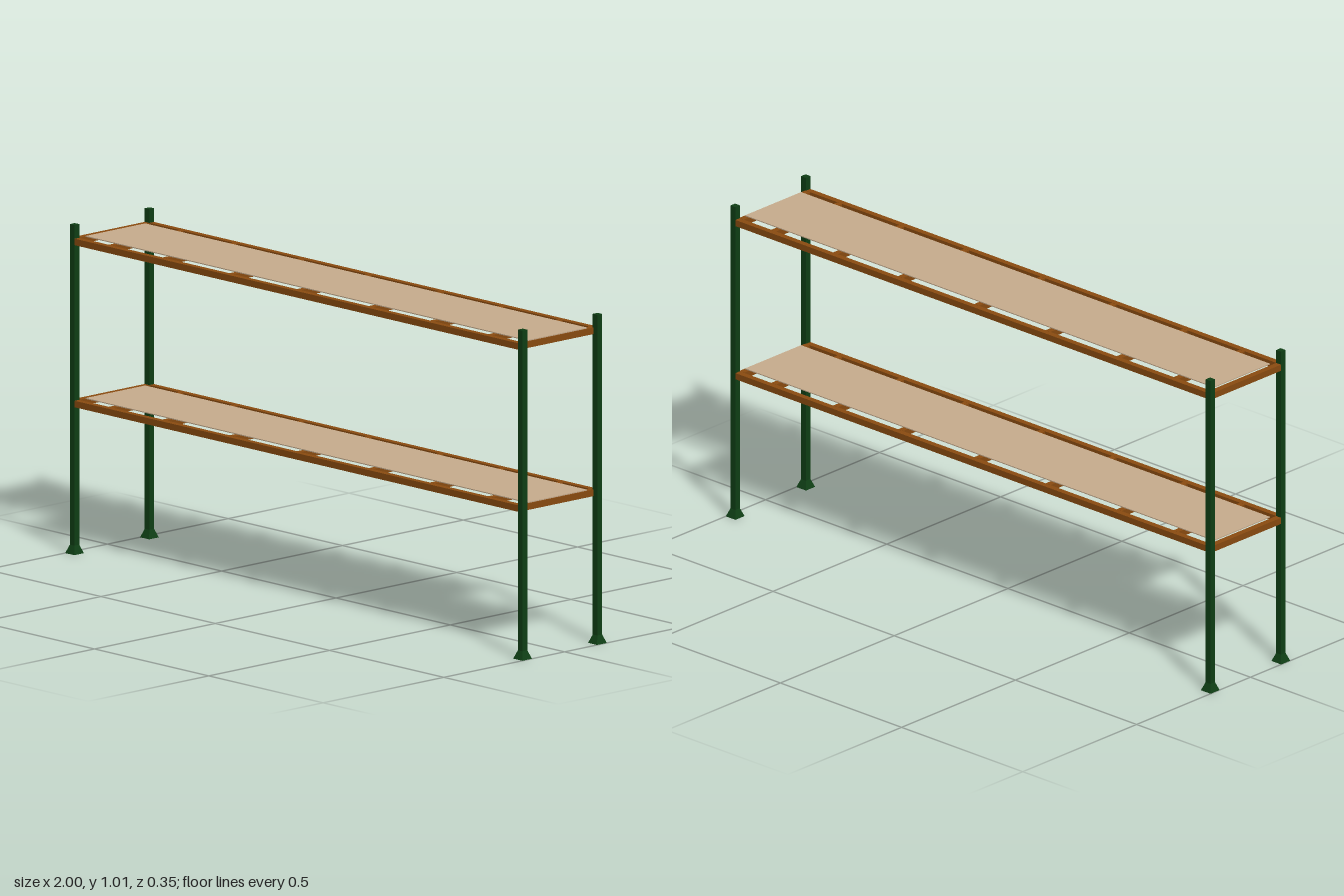
import * as THREE from 'three';

const mat = (name, color) => {
  const m = new THREE.MeshStandardMaterial({ color });
  m.name = name;
  return m;
};

export function createModel() {
  const group = new THREE.Group();
  group.name = 'shelvingRack';
  const green = mat('dark green', 0x0f3f15);
  const brown = mat('brown', 0x8b4c10);
  const tan = mat('tan', 0xc8ad8e);

  const add = (parent, name, geometry, material, x, y, z) => {
    const mesh = new THREE.Mesh(geometry, material);
    mesh.name = name;
    mesh.position.set(x, y, z);
    parent.add(mesh);
    return mesh;
  };

  const POST_X = 0.98, POST_Z = 0.155, HEIGHT = 1.015, BAR = 0.02;

  // Square posts standing on flared four-sided feet
  const postGeo = new THREE.BoxGeometry(BAR, HEIGHT - 0.005, BAR);
  const footGeo = new THREE.CylinderGeometry(0.01 * Math.SQRT2, 0.02 * Math.SQRT2, 0.026, 4)
    .rotateY(Math.PI / 4).toNonIndexed();
  footGeo.computeVertexNormals();
  for (const sx of [-1, 1]) {
    for (const sz of [-1, 1]) {
      const side = (sz > 0 ? 'front' : 'back') + (sx > 0 ? 'Left' : 'Right');
      add(group, side + 'Post', postGeo, green, sx * POST_X, (HEIGHT + 0.005) / 2, sz * POST_Z);
      add(group, side + 'Foot', footGeo, green, sx * POST_X, 0.013, sz * POST_Z);
    }
  }

  // Two identical shelves: long rails, crossbars and a thin panel on top
  const railGeo = new THREE.BoxGeometry(2 * POST_X - BAR, BAR, BAR - 0.001);
  const barGeo = new THREE.BoxGeometry(BAR, BAR, 2 * POST_Z - BAR);
  const panelGeo = new THREE.BoxGeometry(1.934, 0.003, 0.246);
  const barX = [-0.98, -0.83, -0.595, -0.302, -0.007, 0.307, 0.575, 0.83, 0.963];
  for (const [name, y] of [['lowerShelf', 0.463], ['upperShelf', 0.963]]) {
    const shelf = new THREE.Group();
    shelf.name = name;
    shelf.position.y = y;
    group.add(shelf);
    add(shelf, 'frontRail', railGeo, brown, 0, 0, POST_Z);
    add(shelf, 'backRail', railGeo, brown, 0, 0, -POST_Z);
    for (const x of barX) add(shelf, 'crossbar', barGeo, brown, x, 0, 0);
    add(shelf, 'panel', panelGeo, tan, 0.002, BAR / 2 + 0.0015, 0);
  }
  return group;
}
